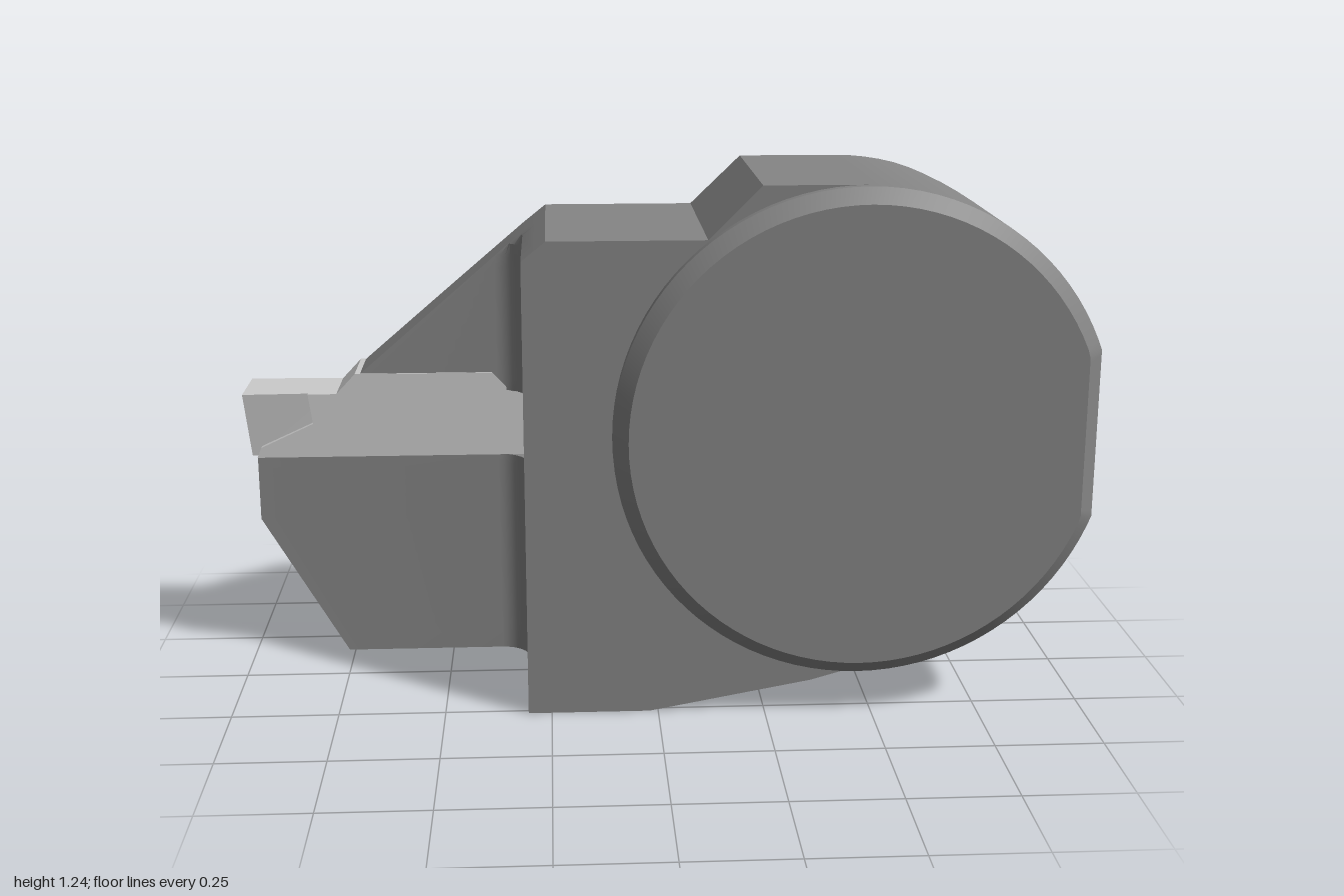
import * as THREE from 'three';
import { toCreasedNormals } from 'three/addons/utils/BufferGeometryUtils.js';

const bodyMat = new THREE.MeshStandardMaterial({ color: 0x858585 });
const insertMat = new THREE.MeshStandardMaterial({ color: 0xcccccc });
const lerp = THREE.MathUtils.lerp;

// Joins closed loops of equal length (counterclockwise seen from the last one);
// the ends are closed as fans around the two given points.
function loft(loops, startCentre, endCentre) {
  const n = loops[0].length, last = (loops.length - 1) * n, index = [];
  const points = [...loops.flat(), startCentre, endCentre];
  for (let j = 0; j < n; j++) {
    const k = (j + 1) % n;
    for (let i = 0; i < last; i += n) {
      index.push(i + j, i + k, i + n + k, i + j, i + n + k, i + n + j);
    }
    index.push(last + n, k, j, last + n + 1, last + j, last + k);
  }
  const geo = new THREE.BufferGeometry();
  geo.setAttribute('position', new THREE.Float32BufferAttribute(points.flat(), 3));
  geo.setIndex(index);
  return toCreasedNormals(geo, 0.3);
}

function part(name, geometry, material) {
  const mesh = new THREE.Mesh(geometry, material);
  mesh.name = name;
  return mesh;
}

// Round end of the head, cut off by a flat on its side
const CX = 0.465, CY = 0.67, R = 0.57, FLAT = 1;
const flatAngle = Math.acos((FLAT - CX) / R);
const angles = [-flatAngle, flatAngle];
for (let i = 0; i < 96; i++) angles.push(-Math.PI / 2 + (i / 96) * Math.PI * 2);
angles.sort((a, b) => a - b);

// Gently bulged back and right-hand edge, by height
const backZ = y => -0.313 + 0.155 * (y - 0.663) ** 2;
function rightX(y) {
  if (y < 0.07) return lerp(-0.02, 0.36, y / 0.07);
  if (y < 0.1) return lerp(0.36, CX, (y - 0.07) / 0.03);
  return Math.min(FLAT, CX + Math.sqrt(Math.max(0, R * R - (y - CY) ** 2)));
}

// Horizontal section: thin blade, fillet, thick block, sloped back corner
const WALL = -0.305, BLADE = -0.155, FRONT = 0.265, FILLET = 0.07;
function section(y, xl, slot) {
  const zb = backZ(y), xr = rightX(y);
  const loop = [[xl, zb], [xl, BLADE]];
  for (let i = 0; i <= 8; i++) {
    const a = (i / 8) * Math.PI / 2;
    loop.push(slot ? [WALL, BLADE] : [
      WALL - FILLET + FILLET * Math.sin(a),
      BLADE + FILLET - FILLET * Math.cos(a)
    ]);
  }
  loop.push([WALL, FRONT], [xr, FRONT], [xr, Math.max(zb, xr - 0.9)], [Math.min(xr, zb + 0.9), zb]);
  return loop.map(([x, z]) => [Math.max(x, xl), y, z]);
}

function bodyGeometry() {
  // from y, to y, left x at both, insert slot
  const bands = [
    [0, 0.07, -0.765, -0.8054, false],
    [0.07, 0.1, -0.8054, -0.8227, false],
    [0.1, 0.355, -0.8227, -0.97, false],
    [0.355, 0.515, -0.97, -0.97, false],
    [0.515, 0.68, -0.71, -0.71, true],
    [0.68, 0.725, -0.71, -0.71, false],
    [0.725, 1.075, -0.71, WALL, false],
    [1.075, 1.12, WALL, -0.25, false],
    [1.12, 1.24, 0.11, 0.23, false]
  ];
  const heights = angles.filter(a => a <= Math.PI / 2).map(a => CY + R * Math.sin(a));
  const loops = [];
  for (const [y0, y1, x0, x1, slot] of bands) {
    const inner = heights.filter(y => y > y0 + 1e-4 && y < y1 - 1e-4);
    for (const y of [y0, ...inner, y1]) {
      loops.push(section(y, lerp(x0, x1, (y - y0) / (y1 - y0)), slot));
    }
  }
  return loft(loops, [-0.2, 0, -0.2], [0.35, 1.24, 0]);
}

// Raised round face with a chamfered rim
function faceGeometry() {
  const ring = (r, flat, z) => angles.map(a => [
    Math.min(flat, CX + r * Math.cos(a)), CY + r * Math.sin(a), z
  ]);
  return loft(
    [ring(R, FLAT, FRONT), ring(R, FLAT, 0.29), ring(R - 0.035, FLAT - 0.035, 0.325)],
    [CX, CY, FRONT], [CX, CY, 0.325]
  );
}

// Double-ended insert, centred on its own middle
function createInsert() {
  const insert = new THREE.Group();
  insert.name = 'cuttingInsert';
  const half = [[0.415, 0.515], [0.405, 0.54], [0.275, 0.6], [0.285, 0.675],
    [0.215, 0.675], [0.168, 0.725]];
  const outline = [...half, ...half.map(([x, y]) => [-x, y]).reverse()];
  const bar = new THREE.ExtrudeGeometry(
    new THREE.Shape(outline.map(p => new THREE.Vector2(...p))),
    { depth: 0.165, bevelEnabled: false }
  );
  bar.translate(0, 0, -0.076);
  insert.add(part('insertBar', bar, insertMat));

  // Cutting tips, wider along the top edge
  const level = (y, x, w, wInner) => [[-x, y, -w], [-x, y, w], [-0.24, y, wInner], [-0.24, y, -wInner]];
  const tip = loft([level(0.515, 0.43, 0.068, 0.068), level(0.675, 0.445, 0.085, 0.078)],
    [-0.34, 0.515, 0], [-0.34, 0.675, 0]);
  for (const turn of [0, Math.PI]) {
    const mesh = part(turn ? 'innerTip' : 'outerTip', tip, insertMat);
    mesh.rotation.y = turn;
    insert.add(mesh);
  }
  insert.position.set(-0.555, 0, -0.24);
  return insert;
}

export function createModel() {
  const model = new THREE.Group();
  model.name = 'groovingHead';
  model.add(part('headBody', bodyGeometry(), bodyMat));
  model.add(part('roundFace', faceGeometry(), bodyMat));
  model.add(createInsert());
  return model;
}
